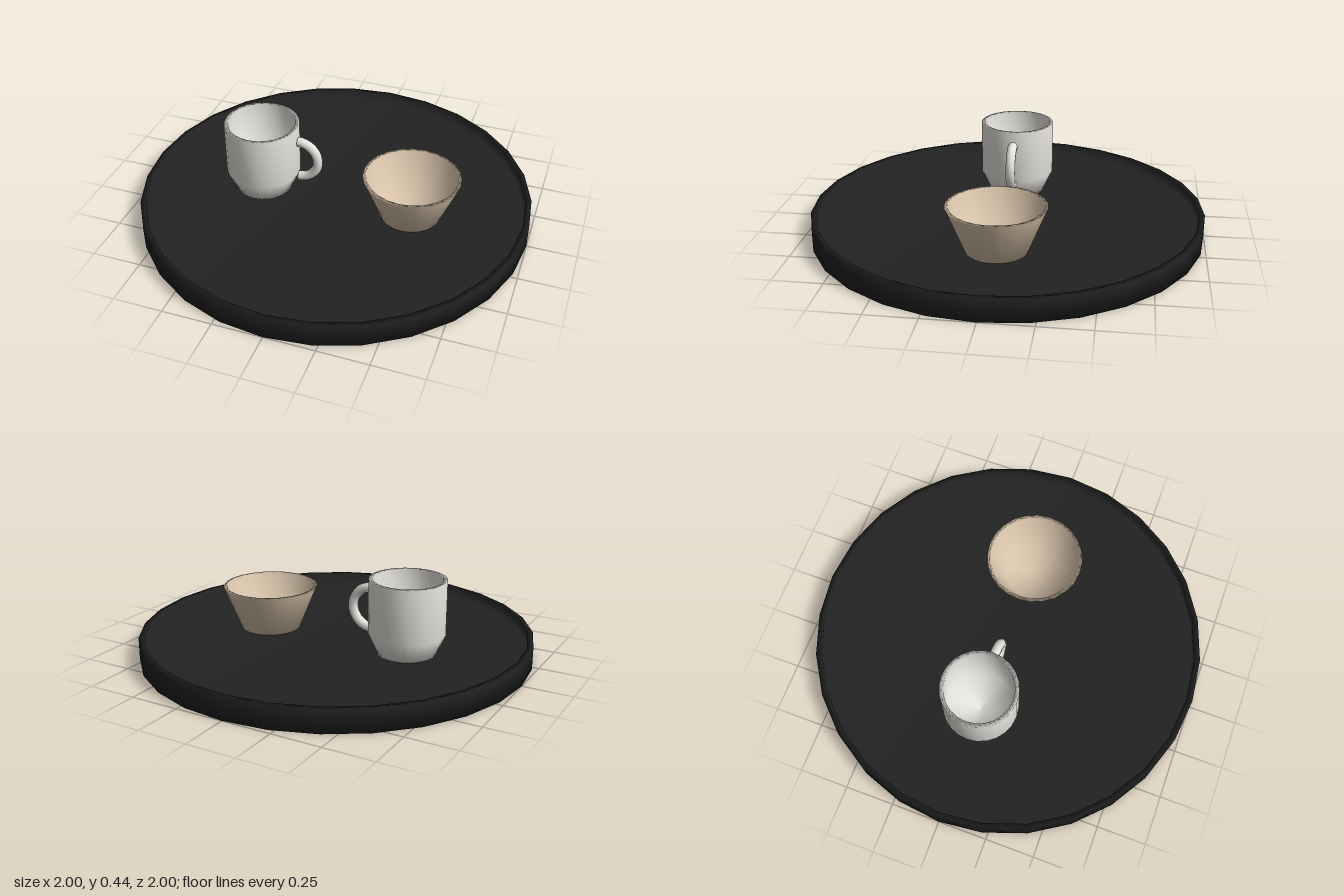
import * as THREE from 'three';

const material = (name, color) => {
  const m = new THREE.MeshStandardMaterial({ color });
  m.name = name;
  return m;
};

// Turned part from [radius, height] pairs, running from the outer base to the inner floor
function turned(name, profile, segments, mat) {
  const points = profile.map(([r, y]) => new THREE.Vector2(r, y));
  const mesh = new THREE.Mesh(new THREE.LatheGeometry(points, segments), mat);
  mesh.name = name;
  return mesh;
}

export function createModel() {
  const black = material('trayBlack', 0x222222);
  const white = material('mugWhite', 0xe6e4de);
  const beige = material('bowlBeige', 0xd6c2a9);

  const group = new THREE.Group();
  group.name = 'servingTray';
  const floor = 0.055;

  // Round tray with a raised rim around a recessed floor
  group.add(turned('tray', [
    [0, 0], [1, 0], [1, 0.113], [0.97, 0.113], [0.97, floor], [0, floor],
  ], 28, black));

  // Mug: tapered foot, straight wall, hollow inside
  const mug = new THREE.Group();
  mug.name = 'mug';
  mug.position.set(-0.4, floor, 0);
  mug.add(turned('mugBody', [
    [0, 0], [0.145, 0], [0.193, 0.105], [0.193, 0.38],
    [0.172, 0.38], [0.172, 0.08], [0, 0.03],
  ], 24, white));

  // Half-ring handle on the mug's +x side
  const handleGeometry = new THREE.TorusGeometry(0.105, 0.025, 10, 18, Math.PI);
  handleGeometry.rotateZ(-Math.PI / 2);
  const handle = new THREE.Mesh(handleGeometry, white);
  handle.name = 'mugHandle';
  handle.position.set(0.197, 0.2, 0);
  mug.add(handle);
  group.add(mug);

  // Flared bowl
  const bowl = turned('bowl', [
    [0, 0], [0.155, 0], [0.247, 0.227], [0.23, 0.227], [0.145, 0.025], [0, 0.02],
  ], 24, beige);
  bowl.position.set(0.4, floor, 0);
  group.add(bowl);

  return group;
}
